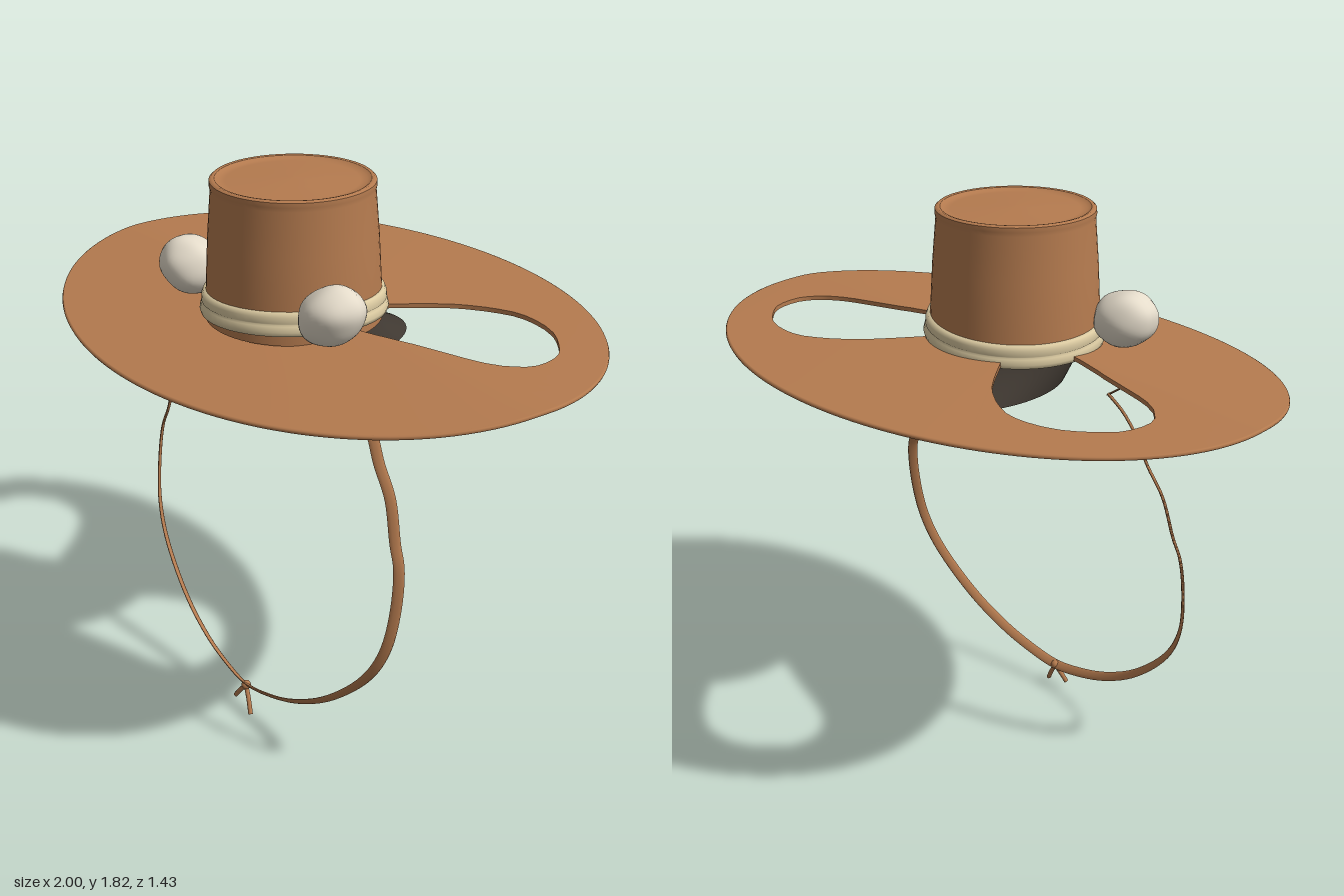
import * as THREE from 'three';

const mat = (name, color) => Object.assign(new THREE.MeshStandardMaterial({ color, side: THREE.DoubleSide }), { name });
const V = (x, y, z) => new THREE.Vector3(x, y, z);
const range = (n) => Array.from({ length: n + 1 }, (_, i) => i / n);

// Smooth sheet from a rule fn(u, v) -> Vector3; wrap joins the last u to the first
function sheet(us, vs, fn, wrap = false) {
  const pos = [], idx = [], n = us.length, m = vs.length;
  for (const u of us) for (const v of vs) pos.push(...fn(u, v).toArray());
  for (let i = 0; i < (wrap ? n : n - 1); i++) {
    for (let j = 0; j < m - 1; j++) {
      const a = i * m + j, b = ((i + 1) % n) * m + j;
      idx.push(a, b, a + 1, b, b + 1, a + 1);
    }
  }
  const g = new THREE.BufferGeometry();
  g.setAttribute('position', new THREE.Float32BufferAttribute(pos, 3));
  g.setIndex(idx);
  g.computeVertexNormals();
  return g;
}

const CX = 0.01, CZ = 0.11;          // crown axis
const RX = 0.993, RZ = 0.708;        // brim half sizes
const THICK = 0.014;
// Brim height: nearly level at the back, drooping toward the front
const brimY = (x, z) => 1.416 - 0.012 * x * x - 0.016 * Math.min(0, z) ** 2
  - 0.07 * Math.pow(Math.max(0, z - 0.05) / 0.66, 1.2);

// Side cut-out as [angle in degrees, outer radius] around the crown axis
const CUT = [[5, 0.23], [7, 0.3], [10.7, 0.458], [12.3, 0.64], [12.9, 0.69], [14.1, 0.739], [16.5, 0.793],
  [18.5, 0.816], [20.8, 0.829], [23.3, 0.837], [25.8, 0.839], [28.2, 0.832], [30.7, 0.821], [33.5, 0.808],
  [36.4, 0.792], [40, 0.763], [43.3, 0.729], [45.6, 0.701], [47.7, 0.667], [49.3, 0.626], [50.8, 0.583],
  [52.3, 0.53], [53.3, 0.486], [53.8, 0.43], [54, 0.38], [54.1, 0.23]];

function innerRadius(deg) {
  const a = deg > 90 ? 180 - deg : deg;
  for (let i = 1; i < CUT.length; i++) {
    const [a0, r0] = CUT[i - 1], [a1, r1] = CUT[i];
    if (a >= a0 && a <= a1) return r0 + (r1 - r0) * (a - a0) / (a1 - a0);
  }
  return 0.23;
}

// Distance from the crown axis to the brim ellipse
function outerRadius(c, s) {
  const A = (c / RX) ** 2 + (s / RZ) ** 2;
  const B = CX * c / RX ** 2 - CZ * s / RZ ** 2;
  const C = (CX / RX) ** 2 + (CZ / RZ) ** 2 - 1;
  return (-B + Math.sqrt(B * B - A * C)) / A;
}

function brimPoint(deg, t, drop) {
  const c = Math.cos(deg * Math.PI / 180), s = Math.sin(deg * Math.PI / 180);
  const r = THREE.MathUtils.lerp(innerRadius(deg), outerRadius(c, s), t);
  const x = CX + c * r, z = CZ - s * r;
  return V(x, brimY(x, z) - drop, z);
}

// Flat strap with rounded edges following a path; flare leans its width outward from the loop
function ribbon(points, flare, width, thick) {
  const curve = new THREE.CatmullRomCurve3(points);
  return sheet(range(points.length * 6), range(10), (u, v) => {
    const t = curve.getTangent(u);
    const w = V(t.y * flare, -t.x * flare, 1).normalize();
    const n = V(0, 0, 0).crossVectors(t, w).normalize();
    const a = v * Math.PI * 2;
    return curve.getPoint(u).addScaledVector(w, Math.cos(a) * width / 2).addScaledVector(n, Math.sin(a) * thick / 2);
  });
}

export function createModel() {
  const hat = new THREE.Group();
  hat.name = 'hat';
  const brown = mat('brown leather', 0xb57b4f);
  const cream = mat('cream band', 0xdccba2);
  const fluff = mat('pale fluff', 0xe4dbca);
  const dark = mat('dark lining', 0x3f3831);
  const add = (name, geo, material, parent = hat) => {
    const m = new THREE.Mesh(geo, material);
    m.name = name;
    parent.add(m);
    return m;
  };

  // Brim with two side cut-outs
  const angles = new Set();
  for (let a = 0; a < 360; a += 2.5) angles.add(a);
  for (const [a] of CUT) angles.add(a).add(180 - a);
  const us = [...angles].sort((a, b) => a - b);
  add('brimTop', sheet(us, range(10), (a, t) => brimPoint(a, 1 - t, 0), true), brown);
  add('brimUnderside', sheet(us, range(10), (a, t) => brimPoint(a, t, THICK), true), brown);
  add('brimInnerEdge', sheet(us, [0, 1], (a, t) => brimPoint(a, 0, t * THICK), true), brown);

  // Rolled edge around the brim
  const rim = range(96).slice(0, -1).map((t) => {
    const a = t * Math.PI * 2, x = RX * Math.cos(a), z = RZ * Math.sin(a);
    return V(x, brimY(x, z) - THICK / 2, z);
  });
  add('brimEdge', new THREE.TubeGeometry(new THREE.CatmullRomCurve3(rim, true), 160, THICK / 2, 8, true), brown);

  // Crown wall and its shallow sunken top
  const lathe = (pts) => new THREE.LatheGeometry(pts.map(([r, y]) => new THREE.Vector2(r, y)), 64);
  const crown = new THREE.Group();
  crown.name = 'crown';
  crown.position.set(CX, 0, CZ);
  hat.add(crown);
  add('crownWall', lathe([[0.272, 1.395], [0.267, 1.5], [0.258, 1.65], [0.246, 1.79], [0.249, 1.803], [0.248, 1.817]]), brown, crown);
  add('crownLip', lathe([[0.248, 1.817], [0.241, 1.823], [0.232, 1.821]]), brown, crown);
  add('crownTop', lathe([[0.232, 1.821], [0.22, 1.814], [0.2, 1.813], [0.1, 1.818], [0, 1.82]]), brown, crown);

  // Two-tier hat band, slightly tilted, wrapping through to the inside of the crown
  const band = add('hatBand', lathe([[0.256, 1.404], [0.275, 1.41], [0.285, 1.412], [0.289, 1.425], [0.285, 1.442],
    [0.279, 1.446], [0.283, 1.45], [0.282, 1.468], [0.277, 1.481], [0.262, 1.484], [0.256, 1.478], [0.256, 1.404]]), cream, crown);
  band.rotation.set(-0.03, 0, 0.06);
  band.position.set(0.087, 0.003, 0.043);

  // Lumpy pompoms on each side of the crown
  function pompom(name, x, y, z, rx, ry, rz, tilt) {
    const g = new THREE.SphereGeometry(1, 32, 24), p = g.attributes.position, v = V(0, 0, 0);
    for (let i = 0; i < p.count; i++) {
      v.fromBufferAttribute(p, i);
      v.multiplyScalar(1 + 0.025 * Math.sin(5 * v.x + 1) * Math.sin(5 * v.y) + 0.02 * Math.sin(6 * v.z + 3 * v.x));
      p.setXYZ(i, v.x * rx, v.y * ry, v.z * rz);
    }
    g.computeVertexNormals();
    const m = add(name, g, fluff);
    m.position.set(x, y, z);
    m.rotation.z = tilt;
  }
  pompom('rightPompom', -0.31, 1.497, 0.268, 0.107, 0.088, 0.094, -0.2);
  pompom('leftPompom', 0.33, 1.51, 0.222, 0.108, 0.085, 0.097, 0.6);

  // Head collar below the brim, swept toward the back
  add('headCollar', sheet(range(64).slice(0, -1), range(8), (u, t) => {
    const a = u * Math.PI * 2, s = Math.sin(a);
    const front = 0.345 - 0.075 * t, back = -0.13 - 0.18 * Math.pow(t, 1.5);
    return V(0.005 + (0.207 - 0.007 * t) * Math.cos(a), 1.405 - 0.127 * t, (front + back) / 2 + s * (front - back) / 2);
  }, true), dark);

  // Chin strap: a ribbon loop hanging from both sides
  const strapZ = (y) => 0.345 - 0.185 * Math.pow(y / 1.4, 0.85) - 0.025 * Math.sin(Math.PI * y / 1.4);
  const at = (x, y) => V(x, y, strapZ(y));
  const half = [[0.34, 1.285], [0.4, 1.24], [0.455, 1.17], [0.495, 1.09], [0.555, 1.0], [0.595, 0.87], [0.622, 0.8],
    [0.63, 0.66], [0.61, 0.52], [0.55, 0.4], [0.4, 0.25], [0.25, 0.16], [0.12, 0.115]];
  const loop = [...half.map(([x, y]) => at(x, y)), at(0, 0.095), ...half.slice().reverse().map(([x, y]) => at(-x, y))];
  add('chinStrap', ribbon(loop, 1, 0.034, 0.01), brown);
  for (const [name, s] of [['leftStrapEnd', 1], ['rightStrapEnd', -1]]) {
    add(name, ribbon([at(s * 0.34, 1.285), at(s * 0.39, 1.32), at(s * 0.45, 1.375)], 0.1, 0.02, 0.006), brown);
  }

  // Knot with two loose tails
  const knot = add('strapKnot', new THREE.SphereGeometry(0.016, 16, 12), brown);
  knot.position.copy(at(0, 0.092));
  for (const [name, x, y] of [['rightTail', -0.043, 0.033], ['leftTail', 0.05, 0.008]]) {
    const path = new THREE.CatmullRomCurve3([at(0, 0.09), at(x * 0.5, (y + 0.09) / 2 + 0.003), at(x, y)]);
    add(name, new THREE.TubeGeometry(path, 8, 0.008, 8), brown);
  }
  return hat;
}
